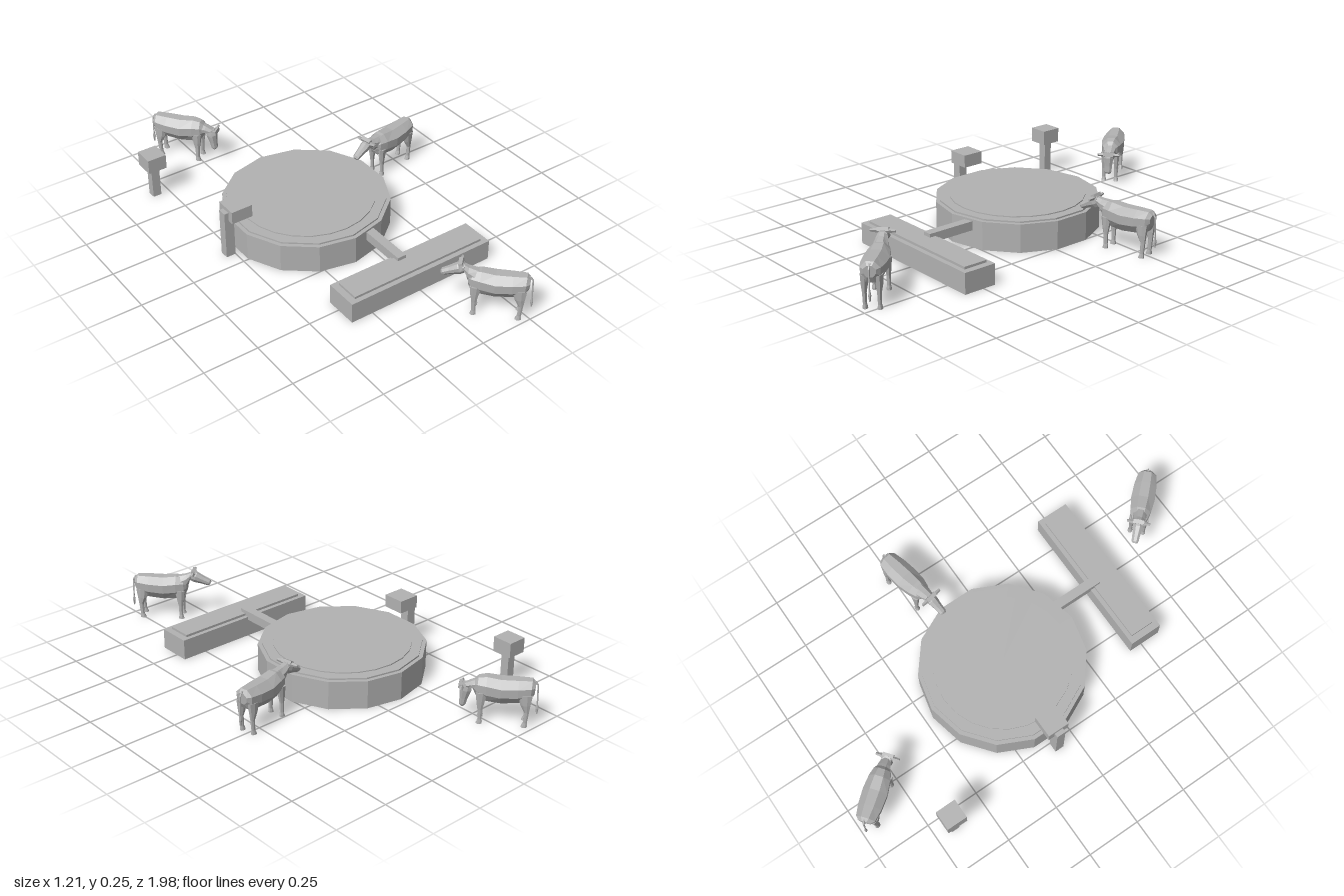
import * as THREE from 'three';

const grey = new THREE.MeshStandardMaterial({ color: 0xb2b2b2 });
grey.name = 'plain grey';
grey.flatShading = true;

function add(parent, name, geometry, x = 0, y = 0, z = 0) {
  const m = new THREE.Mesh(geometry, grey);
  m.name = name;
  m.position.set(x, y, z);
  parent.add(m);
  return m;
}

// Box from its limits
function block(parent, name, x0, x1, y0, y1, z0, z1) {
  return add(parent, name, new THREE.BoxGeometry(x1 - x0, y1 - y0, z1 - z0),
    (x0 + x1) / 2, (y0 + y1) / 2, (z0 + z1) / 2);
}

// Loft through eight-sided rings; each section is [zTop, yTop, zBottom, yBottom, halfWidth]
const RING = [[0.4, 0], [1, 0.28], [0.95, 0.66], [0.45, 1], [-0.45, 1], [-0.95, 0.66], [-1, 0.28], [-0.4, 0]];
function loft(sections, offsetX = 0) {
  const rings = sections.map(([zt, yt, zb, yb, w]) => RING.map(([u, v]) =>
    new THREE.Vector3(offsetX + u * w, yt + (yb - yt) * v, zt + (zb - zt) * v)));
  const n = RING.length;
  const tris = [];
  for (let i = 0; i < rings.length - 1; i++) {
    for (let j = 0; j < n; j++) {
      const k = (j + 1) % n;
      const a = rings[i][j], b = rings[i][k], c = rings[i + 1][k], d = rings[i + 1][j];
      tris.push([a, b, c], [a, c, d]);
    }
  }
  const first = rings[0], last = rings[rings.length - 1];
  for (let j = 1; j < n - 1; j++) {
    tris.push([first[0], first[j + 1], first[j]], [last[0], last[j], last[j + 1]]);
  }
  // Keep all faces pointing outwards
  const centre = first[0];
  const volume = tris.reduce((s, [a, b, c]) => s + a.clone().sub(centre)
    .dot(b.clone().sub(centre).cross(c.clone().sub(centre))), 0);
  const points = tris.flatMap(([a, b, c]) => (volume < 0 ? [a, c, b] : [a, b, c]));
  const g = new THREE.BufferGeometry().setFromPoints(points);
  g.computeVertexNormals();
  return g;
}

// Leg sections: [zFront, zBack, y, halfWidth]
const legLoft = (rows, x) => loft(rows.map(([f, b, y, w]) => [f, y, b, y, w]), x);

// Cow facing +z, rump at z = 0
function cow(parent, x, z, headingX, headingZ, pollZ, pollY, pitch) {
  const g = new THREE.Group();
  g.name = 'cow';
  g.position.set(x, 0, z);
  g.rotation.y = Math.atan2(headingX, headingZ);
  parent.add(g);

  add(g, 'body', loft([
    [0.0, 0.195, 0.004, 0.145, 0.026],
    [0.015, 0.209, 0.02, 0.118, 0.042],
    [0.07, 0.208, 0.07, 0.105, 0.051],
    [0.14, 0.206, 0.14, 0.098, 0.054],
    [0.20, 0.212, 0.20, 0.102, 0.047],
    [0.235, 0.205, 0.24, 0.118, 0.037],
    [0.25, 0.19, 0.252, 0.14, 0.025],
  ]));

  const c = Math.cos(pitch), s = Math.sin(pitch);
  add(g, 'neck', loft([
    [0.205, 0.209, 0.235, 0.125, 0.034],
    [(0.22 + pollZ) / 2, (0.205 + pollY) / 2, (0.24 + pollZ - 0.045 * s) / 2 + 0.003, (0.135 + pollY - 0.048 * c) / 2, 0.027],
    [pollZ, pollY, pollZ - 0.048 * s, pollY - 0.048 * c, 0.02],
  ]));

  const head = new THREE.Group();
  head.name = 'head';
  head.position.set(0, pollY, pollZ);
  head.rotation.x = pitch;
  g.add(head);
  add(head, 'skull', loft([
    [-0.01, -0.002, -0.005, -0.045, 0.019],
    [0.02, 0.002, 0.02, -0.047, 0.023],
    [0.06, -0.006, 0.058, -0.04, 0.018],
    [0.09, -0.01, 0.086, -0.038, 0.016],
    [0.098, -0.017, 0.095, -0.034, 0.012],
  ]));
  for (const side of [-1, 1]) {
    // Ears taper outwards
    const ear = new THREE.CylinderGeometry(0.006, 0.011, 0.042, 4);
    ear.rotateZ(-side * Math.PI / 2);
    add(head, 'ear', ear, side * 0.032, -0.004, 0.004);

    add(g, 'hindLeg', legLoft([
      [0.07, 0.01, 0.15, 0.016], [0.058, 0.016, 0.105, 0.014], [0.04, 0.02, 0.07, 0.009],
      [0.042, 0.025, 0.02, 0.008], [0.047, 0.024, 0.008, 0.010], [0.05, 0.024, 0, 0.011],
    ], side * 0.03));
    add(g, 'frontLeg', legLoft([
      [0.242, 0.195, 0.145, 0.015], [0.237, 0.204, 0.1, 0.012], [0.231, 0.211, 0.065, 0.009],
      [0.229, 0.212, 0.02, 0.008], [0.232, 0.21, 0.008, 0.010], [0.235, 0.21, 0, 0.011],
    ], side * 0.03));
  }
  add(head, 'pollTuft', new THREE.BoxGeometry(0.05, 0.016, 0.018), 0, 0.002, 0.002);

  add(g, 'tail', legLoft([
    [0.01, 0.0, 0.203, 0.004], [-0.005, -0.012, 0.185, 0.004], [-0.008, -0.014, 0.1, 0.003],
    [-0.005, -0.017, 0.075, 0.006], [-0.009, -0.014, 0.05, 0.003],
  ], 0));
}

// Post with a box-shaped head
function post(parent, name, stem, head) {
  const g = new THREE.Group();
  g.name = name;
  parent.add(g);
  block(g, 'stem', ...stem);
  block(g, 'box', ...head);
}

export function createModel() {
  const model = new THREE.Group();
  model.name = 'wateringPlace';

  // Round water tank in three steps
  const tank = new THREE.Group();
  tank.name = 'tank';
  tank.position.set(-0.11, 0, -0.09);
  model.add(tank);
  add(tank, 'tankWall', new THREE.CylinderGeometry(0.375, 0.375, 0.131, 14), 0, 0.0655, 0);
  add(tank, 'tankRim', new THREE.CylinderGeometry(0.357, 0.357, 0.007, 14), 0, 0.1345, 0);
  add(tank, 'tankWater', new THREE.CylinderGeometry(0.308, 0.308, 0.005, 24), 0, 0.1405, 0);

  // Trough and its feed pipe
  block(model, 'trough', -0.355, 0.37, 0, 0.095, 0.44, 0.595);
  block(model, 'troughWater', -0.325, 0.34, 0.095, 0.106, 0.46, 0.573);
  block(model, 'feedPipe', -0.042, 0, 0.08, 0.122, 0.24, 0.49);

  // Posts
  post(model, 'tankPost',
    [-0.545, -0.5, 0, 0.23, -0.108, -0.066], [-0.525, -0.424, 0.188, 0.247, -0.138, -0.037]);
  post(model, 'fieldPost',
    [-0.583, -0.543, 0, 0.155, -0.682, -0.642], [-0.608, -0.518, 0.153, 0.222, -0.709, -0.614]);

  // Three cows: drinking, grazing and looking up
  cow(model, 0.588, -0.25, -0.98, 0.196, 0.295, 0.215, 0.45);
  cow(model, -0.375, -0.975, 0.62, 0.78, 0.305, 0.162, 1.4);
  cow(model, 0.258, 0.975, -0.69, -0.72, 0.282, 0.235, 0.38);

  return model;
}
